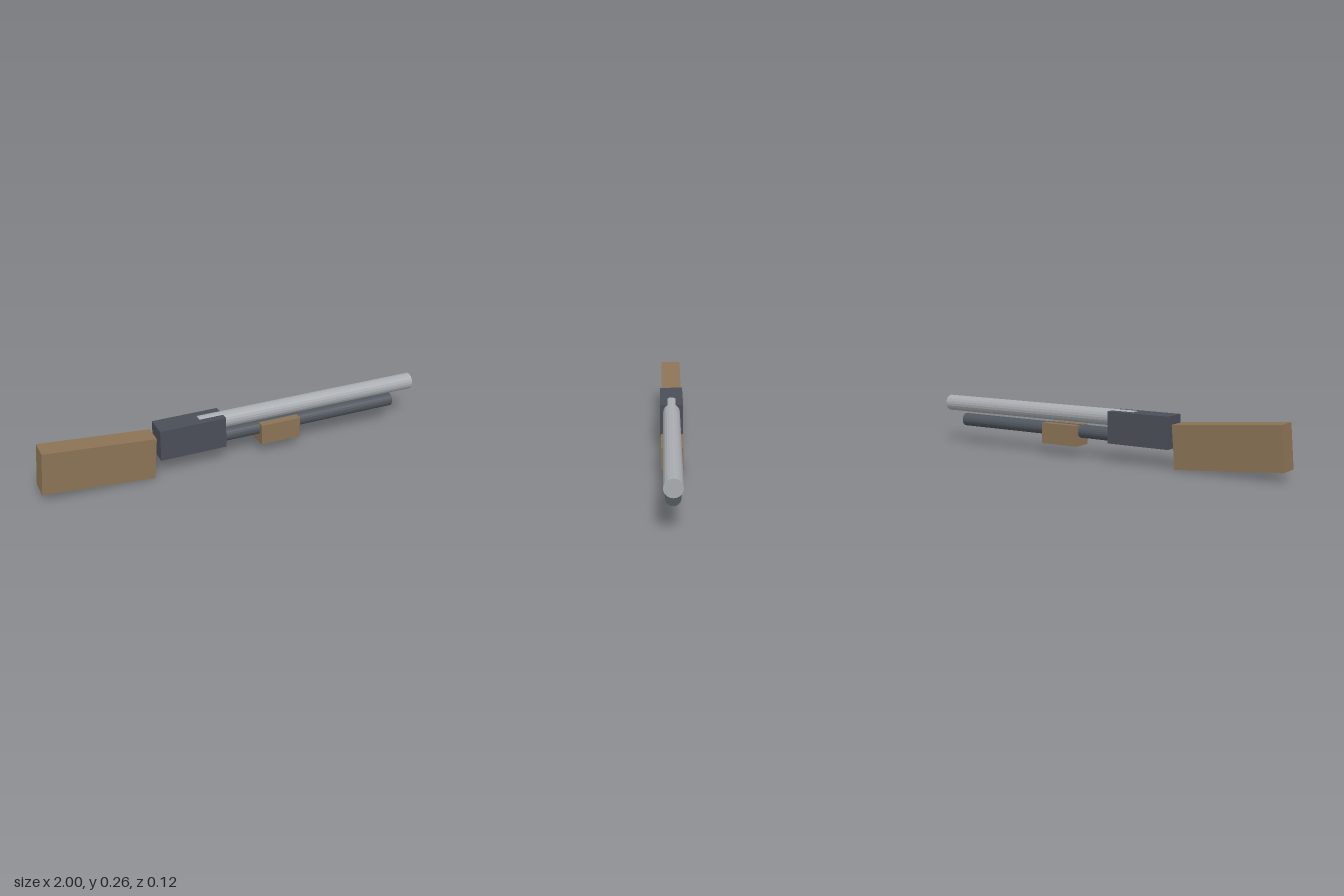
import * as THREE from 'three';

const material = (color) => new THREE.MeshStandardMaterial({ color, flatShading: true });

export function createModel() {
  const group = new THREE.Group();
  const wood = material(0x8b7355);
  const darkSteel = material(0x4a4e57);
  const tubeSteel = material(0x50565e);
  const brightSteel = material(0xa8acb0);

  const add = (name, geometry, mat, x, y) => {
    const mesh = new THREE.Mesh(geometry, mat);
    mesh.name = name;
    mesh.position.set(x, y, 0);
    group.add(mesh);
    return mesh;
  };
  // Round bar lying along x between two ends
  const bar = (name, radius, x0, x1, y, mat) =>
    add(name, new THREE.CylinderGeometry(radius, radius, x1 - x0, 20).rotateZ(-Math.PI / 2), mat, (x0 + x1) / 2, y);

  // Shoulder stock, tilted slightly down towards the receiver
  const stock = add('stock', new THREE.BoxGeometry(0.553, 0.214, 0.106), wood, -0.715, 0.13);
  stock.rotation.z = -0.081;

  // Receiver block
  add('receiver', new THREE.BoxGeometry(0.34, 0.159, 0.117), darkSteel, -0.245, 0.1725);

  // Barrel sunk into the receiver, with the magazine tube below
  bar('barrel', 0.042, -0.2, 1, 0.216, brightSteel);
  bar('magazineTube', 0.034, -0.085, 0.89, 0.13, tubeSteel);

  // Sliding grip under the tube
  add('foreGrip', new THREE.BoxGeometry(0.212, 0.106, 0.106), wood, 0.227, 0.109);

  return group;
}
